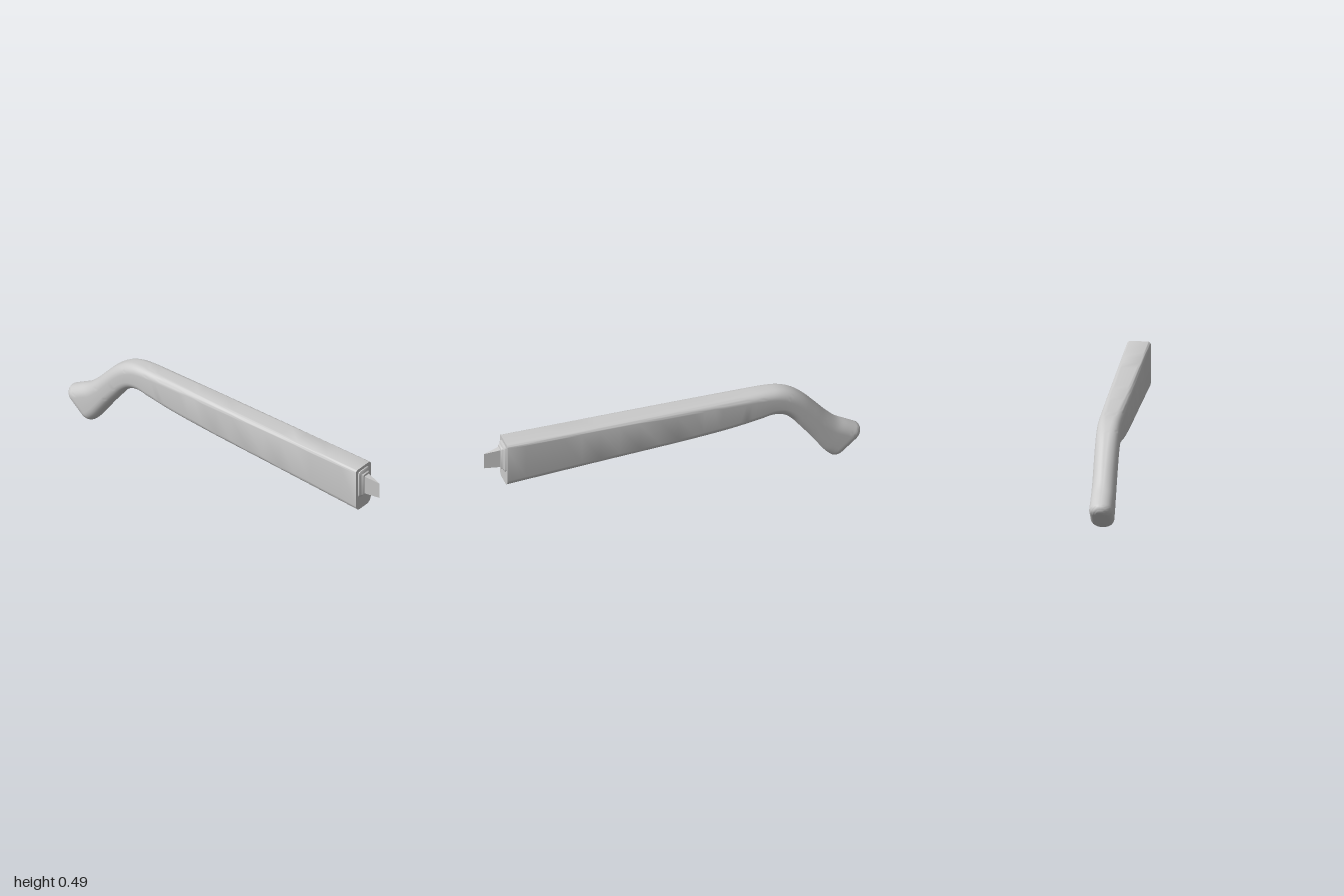
import * as THREE from 'three';
import { toCreasedNormals } from 'three/addons/utils/BufferGeometryUtils.js';

const material = new THREE.MeshStandardMaterial({ color: 0xcccccc });

// Rounded-rectangle ring between a bottom and a top point of the side profile
function ring({ top, bottom, hw, rt, rb }, steps = 7) {
  const c = top.clone().add(bottom).multiplyScalar(0.5);
  const v = top.clone().sub(bottom);
  const h = v.length() / 2;
  v.normalize();
  const pts = [];
  [[1, 1, 0], [-1, 1, 1], [-1, -1, 2], [1, -1, 3]].forEach(([sx, sy, q]) => {
    const r = Math.min(sy > 0 ? rt : rb, hw * 0.97, h * 0.97);
    for (let i = 0; i <= steps; i++) {
      const a = (q + i / steps) * Math.PI / 2;
      const p = c.clone().addScaledVector(v, sy * (h - r) + r * Math.sin(a));
      p.x = sx * (hw - r) + r * Math.cos(a);
      pts.push(p);
    }
  });
  return pts;
}

// Closed skin over sections ordered from front to back
function loft(sections, crease = 0.6) {
  const rings = sections.map((s) => ring(s));
  const n = rings[0].length;
  const pts = rings.flat();
  const index = [];
  for (let i = 0; i < rings.length - 1; i++) {
    for (let j = 0; j < n; j++) {
      const a = i * n + j, b = i * n + (j + 1) % n;
      index.push(a, a + n, b, b, a + n, b + n);
    }
  }
  const mid = (s) => s.top.clone().add(s.bottom).multiplyScalar(0.5);
  const front = pts.push(mid(sections[0])) - 1;
  const back = pts.push(mid(sections[sections.length - 1])) - 1;
  const last = (rings.length - 1) * n;
  for (let j = 0; j < n; j++) {
    const k = (j + 1) % n;
    index.push(front, j, k, back, last + k, last + j);
  }
  const g = new THREE.BufferGeometry().setFromPoints(pts);
  g.setIndex(index);
  return toCreasedNormals(g, crease);
}

function addPart(group, name, geometry) {
  const mesh = new THREE.Mesh(geometry, material);
  mesh.name = name;
  group.add(mesh);
}

// Tapered arm that bends down into a flared grip
function armGeometry() {
  // top z, top y, bottom z, bottom y, top radius, bottom radius
  const stations = [
    [0.895, 0.487, 0.895, 0.238, 0.016, 0.034],
    [0.4, 0.484, 0.4, 0.263, 0.02, 0.035],
    [-0.1, 0.482, -0.1, 0.287, 0.028, 0.037],
    [-0.35, 0.481, -0.3, 0.302, 0.035, 0.04],
    [-0.5, 0.48, -0.45, 0.322, 0.041, 0.042],
    [-0.57, 0.472, -0.52, 0.332, 0.045, 0.045],
    [-0.63, 0.449, -0.575, 0.32, 0.049, 0.047],
    [-0.69, 0.405, -0.62, 0.285, 0.052, 0.049],
    [-0.76, 0.33, -0.67, 0.222, 0.054, 0.051],
    [-0.82, 0.262, -0.72, 0.155, 0.056, 0.053],
    [-0.874, 0.212, -0.765, 0.09, 0.057, 0.055],
    [-0.93, 0.18, -0.8, 0.04, 0.058, 0.057],
    [-0.985, 0.148, -0.825, 0.012, 0.058, 0.058],
  ];
  const curve = (f) => new THREE.CatmullRomCurve3(stations.map(f), false, 'centripetal');
  const tops = curve((s) => new THREE.Vector3(0, s[1], s[0]));
  const bottoms = curve((s) => new THREE.Vector3(0, s[3], s[2]));
  const radii = curve((s) => new THREE.Vector3(s[4], s[5], 0));
  const sections = [];
  const N = (stations.length - 1) * 5;
  for (let i = 0; i <= N; i++) {
    const r = radii.getPoint(i / N);
    sections.push({ top: tops.getPoint(i / N), bottom: bottoms.getPoint(i / N), hw: 0.06, rt: r.x, rb: r.y });
  }
  // rounded butt of the grip
  const end = sections[sections.length - 1];
  const u = end.top.clone().sub(end.bottom).normalize();
  const d = new THREE.Vector3(0, -u.z, u.y).multiplyScalar(-1);
  if (d.z > 0) d.negate();
  const R = 0.035;
  for (let i = 1; i <= 8; i++) {
    const a = i / 8 * Math.PI / 2;
    const out = R * Math.sin(a), inset = R * (1 - Math.cos(a));
    sections.push({
      top: end.top.clone().addScaledVector(d, out).addScaledVector(u, -inset),
      bottom: end.bottom.clone().addScaledVector(d, out).addScaledVector(u, inset),
      hw: 0.06 - inset, rt: 0.058 - inset, rb: 0.058 - inset,
    });
  }
  return loft(sections);
}

// Stepped collar on the front face
function collarGeometry() {
  // z, half width, bottom y, top y, corner radius
  return loft([
    [0.917, 0.02, 0.334, 0.446, 0.002],
    [0.915, 0.024, 0.33, 0.45, 0.003],
    [0.908, 0.027, 0.327, 0.453, 0.004],
    [0.906, 0.03, 0.324, 0.457, 0.008],
    [0.904, 0.037, 0.318, 0.464, 0.014],
    [0.9, 0.042, 0.314, 0.469, 0.017],
    [0.892, 0.043, 0.313, 0.47, 0.018],
  ].map(([z, hw, y0, y1, r]) => ({
    top: new THREE.Vector3(0, y1, z), bottom: new THREE.Vector3(0, y0, z), hw, rt: r, rb: r,
  })));
}

// Wedge blade with a vertical front edge and a sloping top
function bladeGeometry() {
  const g = new THREE.BufferGeometry().setFromPoints([
    [-0.018, 0.337, 0.91], [0.018, 0.337, 0.91], [0, 0.337, 1],
    [-0.018, 0.442, 0.91], [0.018, 0.442, 0.91], [0, 0.425, 1],
  ].map((p) => new THREE.Vector3(...p)));
  g.setIndex([0, 1, 2, 3, 5, 4, 0, 2, 5, 0, 5, 3, 2, 1, 4, 2, 4, 5, 1, 0, 3, 1, 3, 4]);
  return toCreasedNormals(g, 0.1);
}

export function createModel() {
  const group = new THREE.Group();
  group.name = 'bentArm';
  addPart(group, 'arm', armGeometry());
  addPart(group, 'collar', collarGeometry());
  addPart(group, 'blade', bladeGeometry());
  return group;
}
